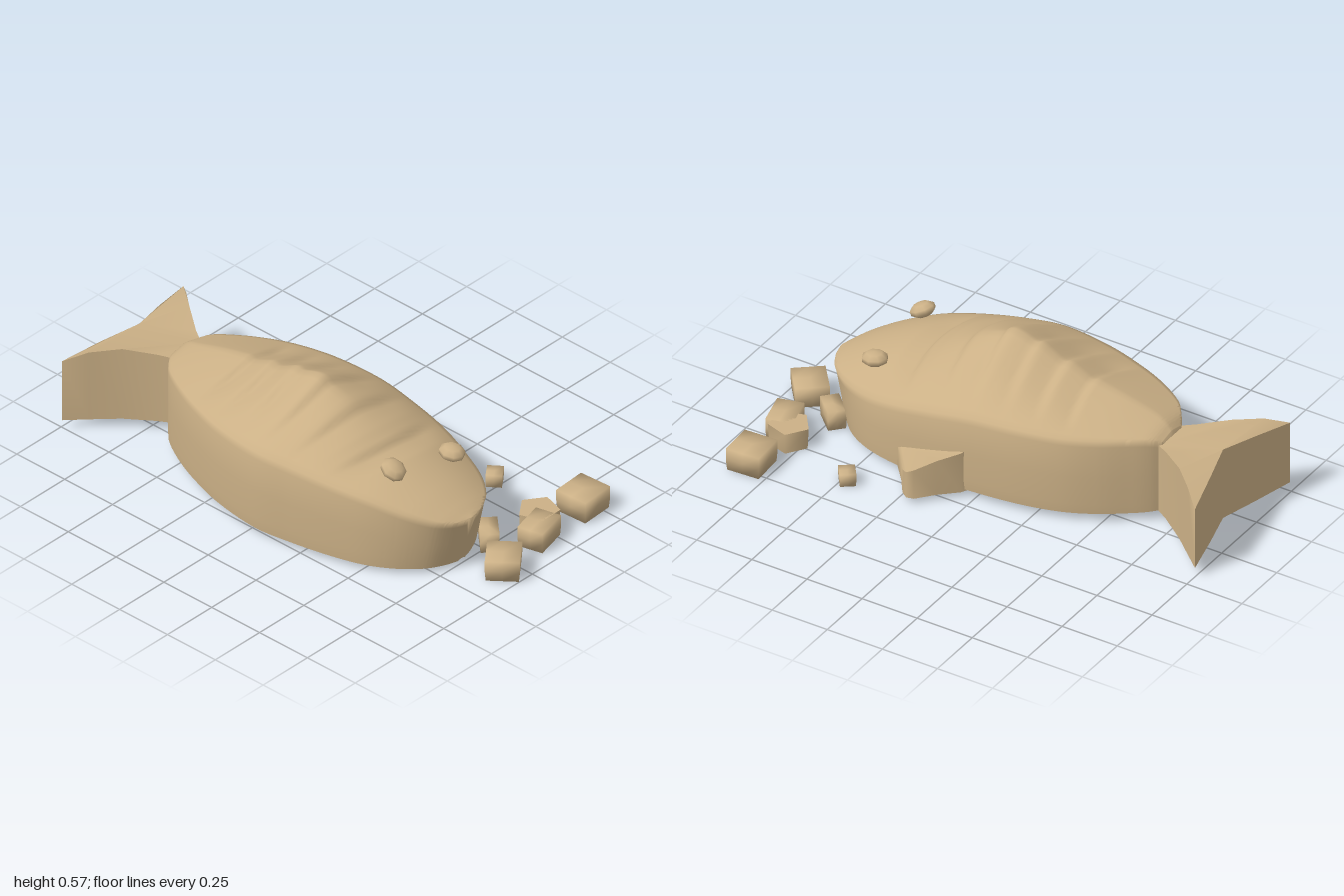
import * as THREE from 'three';
import { toCreasedNormals, mergeVertices } from 'three/addons/utils/BufferGeometryUtils.js';

const sand = new THREE.MeshStandardMaterial({ color: 0xcbb086 });
sand.name = 'sand';

function add(group, name, geometry, x = 0, y = 0, z = 0) {
  const mesh = new THREE.Mesh(geometry, sand);
  mesh.name = name;
  mesh.position.set(x, y, z);
  group.add(mesh);
  return mesh;
}

// Stations along the body: x, back edge z, front edge z, back rim, ridge, front rim
const stations = [
  [-0.68, 0.08, 0.22, 0.35, 0.365, 0.35], [-0.645, 0.04, 0.275, 0.365, 0.39, 0.37],
  [-0.59, -0.005, 0.335, 0.37, 0.41, 0.375], [-0.48, -0.08, 0.40, 0.37, 0.44, 0.38],
  [-0.35, -0.14, 0.455, 0.37, 0.47, 0.38], [-0.18, -0.18, 0.505, 0.37, 0.515, 0.38],
  [0.03, -0.20, 0.53, 0.36, 0.57, 0.38], [0.2, -0.202, 0.507, 0.33, 0.5, 0.37],
  [0.37, -0.19, 0.468, 0.295, 0.41, 0.35], [0.52, -0.154, 0.417, 0.262, 0.367, 0.325],
  [0.65, -0.098, 0.352, 0.247, 0.318, 0.287], [0.74, -0.025, 0.28, 0.242, 0.275, 0.255],
  [0.785, 0.05, 0.21, 0.24, 0.25, 0.24], [0.805, 0.11, 0.15, 0.235, 0.24, 0.235],
];
const grooves = [-0.37, -0.24, -0.11, 0.03, 0.17, 0.34];

function bodyGeometry() {
  const curve = (a, b, c) => new THREE.CatmullRomCurve3(
    stations.map((s) => new THREE.Vector3(s[a], s[b], s[c])), false, 'catmullrom', 0.5);
  const sides = curve(0, 1, 2), heights = curve(3, 4, 5);
  const N = 170, T = 24, pos = [], idx = [];
  let M = 0;
  for (let i = 0; i <= N; i++) {
    const s = sides.getPoint(i / N), h = heights.getPoint(i / N);
    const x = s.x, mid = (s.y + s.z) / 2, half = (s.z - s.y) / 2;
    const power = 1.15 + 0.9 * THREE.MathUtils.smoothstep(x, 0, 0.4);
    const base = 0.03 - 0.014 * x;
    const ring = [];
    // Tent-shaped back with shallow curved scale steps
    for (let j = 0; j <= T; j++) {
      const t = (2 * j) / T - 1;
      const rim = THREE.MathUtils.lerp(h.x, h.z, (t + 1) / 2);
      let y = rim + (h.y - (h.x + h.z) / 2) * (1 - Math.abs(t) ** power);
      const fade = 1 - THREE.MathUtils.smoothstep(Math.abs(t), 0.35, 0.95);
      for (const g of grooves) {
        const d = x - g - 0.06 * (1 - t * t);
        if (d > -0.025 && d < 0.09) y -= 0.018 * fade * (d < 0 ? 1 + d / 0.025 : 1 - d / 0.09);
      }
      ring.push([x, y, mid + half * t * 0.975]);
    }
    // Side walls under a softened rim, almost flat underside; the nose leans back at the foot
    const low = (t, y) => {
      const nose = THREE.MathUtils.smoothstep(x, 0.45, 0.8) * 0.06 * (1 - y / h.y);
      ring.push([x - nose, y, mid + half * t]);
    };
    low(1, h.z - 0.025);
    low(0.995, h.z * 0.55);
    low(1, 0.08);
    low(0.985, base);
    for (const t of [0.6, 0.2, -0.2, -0.6]) low(t, base + 0.006 * (1 - t * t));
    low(-0.985, base);
    low(-1, 0.08);
    low(-0.995, h.x * 0.55);
    low(-1, h.x - 0.025);
    M = ring.length;
    pos.push(...ring.flat());
  }
  for (let i = 0; i < N; i++) for (let j = 0; j < M; j++) {
    const a = i * M + j, b = i * M + ((j + 1) % M), c = a + M, d = b + M;
    idx.push(a, b, c, b, d, c);
  }
  // End caps
  const tailCentre = pos.length / 3;
  pos.push(-0.68, 0.2, 0.15, 0.783, 0.14, 0.13);
  for (let j = 0; j < M; j++) {
    const k = (j + 1) % M;
    idx.push(tailCentre, k, j, tailCentre + 1, N * M + j, N * M + k);
  }
  const g = new THREE.BufferGeometry();
  g.setAttribute('position', new THREE.Float32BufferAttribute(pos, 3));
  g.setIndex(idx);
  return toCreasedNormals(g, 1.3);
}

// Upright slab from an outline of [x, z]; top(x, z) gives its upper height
function slab(outline, bottom, top) {
  const shape = new THREE.Shape(outline.map(([x, z]) => new THREE.Vector2(x, -z)));
  const g = new THREE.ExtrudeGeometry(shape, { depth: 1, bevelEnabled: false });
  g.rotateX(-Math.PI / 2);
  const p = g.attributes.position;
  for (let i = 0; i < p.count; i++) {
    p.setY(i, p.getY(i) > 0.5 ? top(p.getX(i), p.getZ(i)) : bottom);
  }
  return toCreasedNormals(g, 1);
}

// Soft-shaded block with a slightly narrower foot
function block(w, h, d) {
  const g = new THREE.BoxGeometry(w, h, d, 2, 2, 2);
  g.deleteAttribute('normal');
  g.deleteAttribute('uv');
  const soft = mergeVertices(g), p = soft.attributes.position;
  for (let i = 0; i < p.count; i++) {
    const k = p.getY(i) < -0.01 ? 0.95 : 1;
    p.setXYZ(i, p.getX(i) * k, p.getY(i), p.getZ(i) * k);
  }
  soft.computeVertexNormals();
  return soft;
}

export function createModel() {
  const fish = new THREE.Group();
  fish.name = 'sandFish';
  add(fish, 'body', bodyGeometry());

  // Forked tail, its tips drooping
  const tail = [[-0.66, 0.075], [-0.72, 0.04], [-0.84, -0.05], [-0.92, -0.12], [-0.997, -0.187],
    [-0.95, 0.0], [-0.905, 0.16], [-0.95, 0.33], [-0.992, 0.505], [-0.92, 0.43],
    [-0.83, 0.34], [-0.72, 0.26], [-0.66, 0.225]];
  add(fish, 'tailFin', slab(tail, 0.037,
    (x) => (x < -0.84 ? 0.363 - 2.2 * (x + 0.84) ** 2 : 0.363 - (x + 0.84) * 0.14)));

  // Fin on the back edge, sloping down towards its tip and the head
  const fin = [[0.03, -0.17], [0.05, -0.21], [0.12, -0.275], [0.18, -0.345], [0.21, -0.352],
    [0.24, -0.33], [0.29, -0.26], [0.35, -0.19], [0.35, -0.17]];
  add(fish, 'backFin', slab(fin, 0.022,
    (x, z) => 0.15 + (z + 0.352) * 0.36 - Math.max(0, x - 0.19) * 0.6));

  // Pebble eyes, and one pebble beneath the body
  const pebble = new THREE.SphereGeometry(1, 8, 5);
  const pebbles = [['leftEye', 0.535, 0.413, 0.282, -0.45], ['rightEye', 0.56, 0.352, -0.022, -0.1],
    ['pebbleBelow', 0.36, 0.027, -0.01, 0]];
  for (const [name, x, y, z, tilt] of pebbles) {
    const m = add(fish, name, pebble, x, y, z);
    m.scale.set(0.056, name === 'pebbleBelow' ? 0.018 : 0.03, 0.05);
    m.rotation.z = tilt;
  }

  // Loose blocks by the mouth: x, z, width, height, depth, turn
  const blocks = [[0.845, -0.455, 0.145, 0.097, 0.15, 0.06], [0.865, -0.185, 0.11, 0.09, 0.15, 0.25],
    [0.905, 0.06, 0.135, 0.09, 0.145, 0.68], [0.74, -0.035, 0.12, 0.085, 0.075, -0.75],
    [0.475, -0.355, 0.065, 0.055, 0.07, 0.65]];
  for (const [x, z, w, h, d, turn] of blocks) {
    add(fish, 'block', block(w, h, d), x, h / 2, z).rotation.y = turn;
  }
  const stone = toCreasedNormals(new THREE.CylinderGeometry(0.085, 0.08, 0.09, 5), 1.4);
  add(fish, 'fiveSidedStone', stone, 0.805, 0.045, -0.245).rotation.y = -0.3;
  return fish;
}
